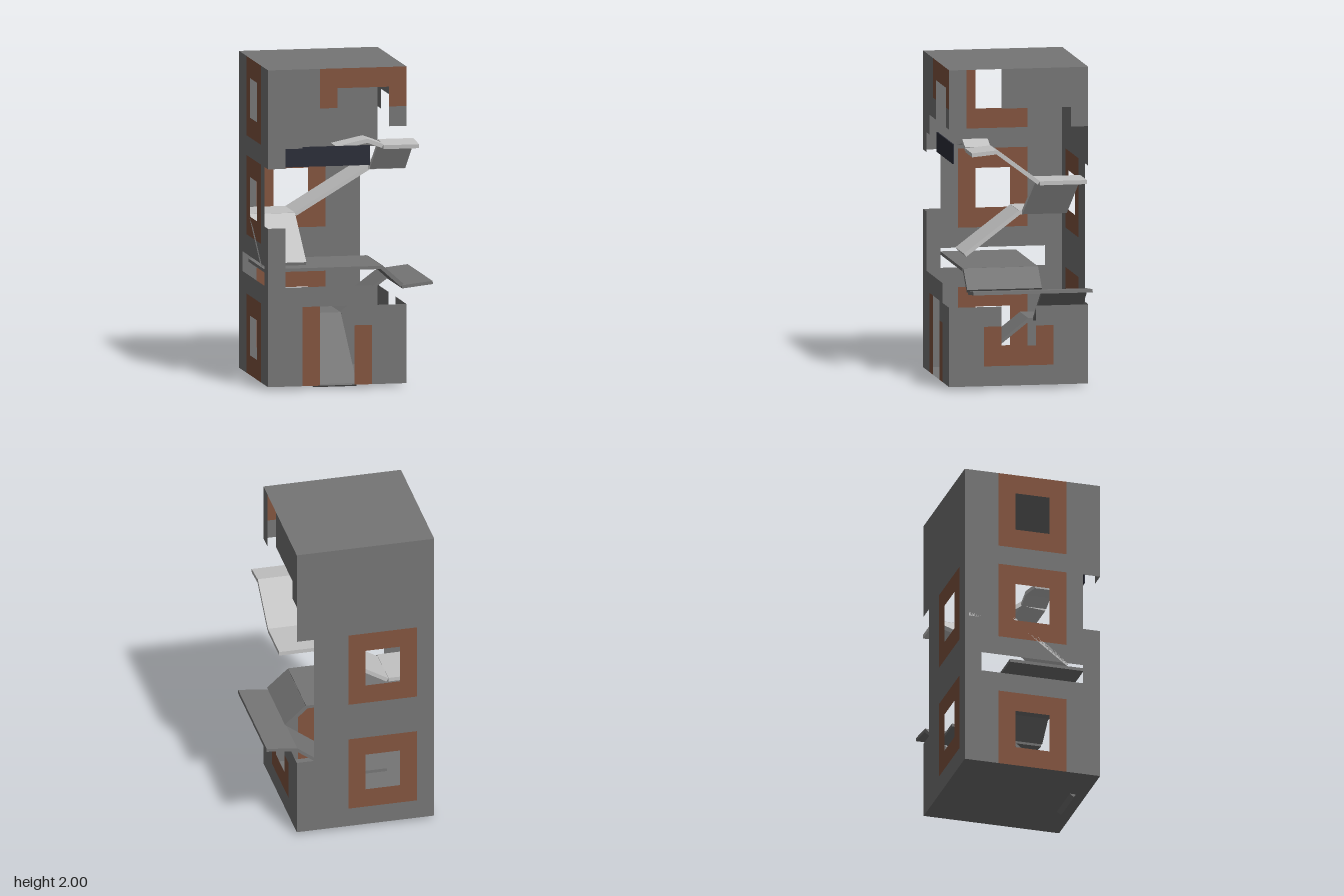
import * as THREE from 'three';
import { mergeGeometries } from 'three/addons/utils/BufferGeometryUtils.js';

// Tower bounds and the wall grid: 8 cells across, 16 cells high
const X0 = -0.535, Z0 = -0.4375, Y0 = 0.02, W = 0.875, U = W / 8, V = 1.98 / 16;

// Wall maps, top row first: # concrete, B brick frame, . opening
// Columns run along +x (front, back) or along +z (sides)
const FRONT = [
  '###BBBBB', '###B...B', '####...#', '##......', '#.......', '........', '........', '........',
  '#.......', '#.......', '#.......', '######..', '##B..###', '##B..B##', '##B..B##', '##B..B##'];
const BACK = [
  '########', '########', '########', '########', '########', '#BBBB##.', '#B..B##.', '#B..B##.',
  '#BBBB##.', '#######.', '#######.', '#BBBB##.', '#B..B###', '#B..B###', '#BBBB###', '########'];
const SIDE_WINDOWS = [
  '##BBBB##', '##B..B##', '##B..B##', '##BBBB##', '########', '##BBBB#.', '##B..B#.', '##B..B#.',
  '##BBBB##', '########', '#......#', '########', '##BBBB##', '##B..B##', '##B..B##', '##BBBB##'];
const SIDE_BROKEN = [
  '#####..#', '#####..#', '#......#', '........', '........', '........', '........', '........',
  '........', '........', '........', '........', '###..###', '##B..B##', '##BBBB##', '########'];

export function createModel() {
  const mat = (name, color) => {
    const m = new THREE.MeshStandardMaterial({ color, side: THREE.DoubleSide });
    m.name = name;
    return m;
  };
  const concrete = mat('concrete', 0x757575);
  const brick = mat('brick', 0x82543f);
  const stone = mat('paleStone', 0xc2c2c2);
  const dark = mat('darkPanel', 0x2c2e39);

  const model = new THREE.Group();
  model.name = 'ruinedTower';
  const add = (name, geo, material, parent = model) => {
    const mesh = new THREE.Mesh(geo, material);
    mesh.name = name;
    parent.add(mesh);
    return mesh;
  };

  // Thin wall: equal runs of cells in a row become one plane
  function wall(name, map, alongZ, offset) {
    const group = new THREE.Group();
    group.name = name;
    for (const [ch, part, material] of [['#', 'Concrete', concrete], ['B', 'Frames', brick]]) {
      const planes = [];
      map.forEach((row, r) => {
        for (const run of row.matchAll(new RegExp(ch + '+', 'g'))) {
          const n = run[0].length;
          const p = new THREE.PlaneGeometry(n * U, V);
          p.translate((run.index + n / 2) * U - W / 2, Y0 + (15.5 - r) * V, 0);
          planes.push(p);
        }
      });
      if (!planes.length) continue;
      const geo = mergeGeometries(planes);
      if (alongZ) geo.rotateY(-Math.PI / 2).translate(offset, 0, Z0 + W / 2);
      else geo.translate(X0 + W / 2, 0, offset);
      add(name + part, geo, material, group);
    }
    model.add(group);
  }
  wall('frontWall', FRONT, false, Z0 + W);
  wall('backWall', BACK, false, Z0);
  wall('rightWall', SIDE_WINDOWS, true, X0);
  wall('leftWall', SIDE_BROKEN, true, X0 + W);

  // Roof and ground floor
  for (const [name, y, turn] of [['roof', Y0 + 16 * V, -1], ['groundFloor', Y0, 1]]) {
    const geo = new THREE.PlaneGeometry(W, W).rotateX(turn * Math.PI / 2);
    add(name, geo.translate(X0 + W / 2, y, Z0 + W / 2), concrete);
  }

  // Slab whose top runs from (a0, y0) to (a1, y1) along an axis, a0 < a1,
  // and spans c0 to c1 across it
  function slab(name, axis, a0, y0, a1, y1, c0, c1, material, t = 0.025) {
    const len = Math.hypot(a1 - a0, y1 - y0), angle = Math.atan2(y1 - y0, a1 - a0);
    const a = (a0 + a1) / 2, y = (y0 + y1) / 2, c = (c0 + c1) / 2, w = c1 - c0;
    const geo = axis === 'x' ? new THREE.BoxGeometry(len, t, w) : new THREE.BoxGeometry(w, t, len);
    geo.translate(0, -t / 2, 0);
    if (axis === 'x') geo.rotateZ(angle).translate(a, y, c);
    else geo.rotateX(-angle).translate(c, y, a);
    add(name, geo, material);
  }

  // Entrance ramp, landing and ramp out to the balcony
  slab('entranceRamp', 'z', -0.115, 0.395, 0.37, 0.016, -0.235, 0.04, concrete, 0.02);
  slab('entranceLanding', 'z', -0.43, 0.395, -0.115, 0.395, -0.235, 0.04, concrete, 0.02);
  slab('balconyRamp', 'x', 0.04, 0.395, 0.335, 0.615, -0.43, -0.145, concrete, 0.02);
  slab('balcony', 'x', 0.335, 0.615, 0.53, 0.637, -0.43, 0.32, concrete, 0.02);
  slab('balconySlope', 'x', 0.215, 0.742, 0.345, 0.625, -0.145, 0.325, concrete);
  slab('middleFloor', 'x', X0, 0.742, 0.21, 0.742, -0.145, 0.33, concrete, 0.02);

  // Pale stair ramps winding up the tower
  slab('firstRamp', 'z', -0.11, 1.025, 0.235, 0.765, X0, -0.25, stone);
  slab('firstLanding', 'z', -0.41, 1.027, -0.11, 1.027, X0, -0.25, stone);
  slab('secondRamp', 'x', -0.25, 1.025, 0.22, 1.305, -0.41, -0.13, stone);
  slab('secondLanding', 'z', -0.41, 1.307, -0.115, 1.307, 0.22, 0.445, stone);
  slab('thirdRamp', 'z', -0.115, 1.307, 0.155, 1.51, 0.22, 0.445, stone);
  slab('thirdLanding', 'z', 0.155, 1.508, 0.315, 1.493, 0.22, 0.445, stone);
  slab('topRamp', 'x', 0.12, 1.537, 0.22, 1.5, 0.155, 0.315, stone);
  slab('topLanding', 'x', -0.08, 1.495, 0.12, 1.537, 0.155, 0.315, stone);

  // Dark panel across the front gap
  const panel = new THREE.BoxGeometry(5 * U, V, 0.008);
  add('frontPanel', panel.translate(X0 + 3.5 * U, Y0 + 11.5 * V, 0.37), dark);

  return model;
}
